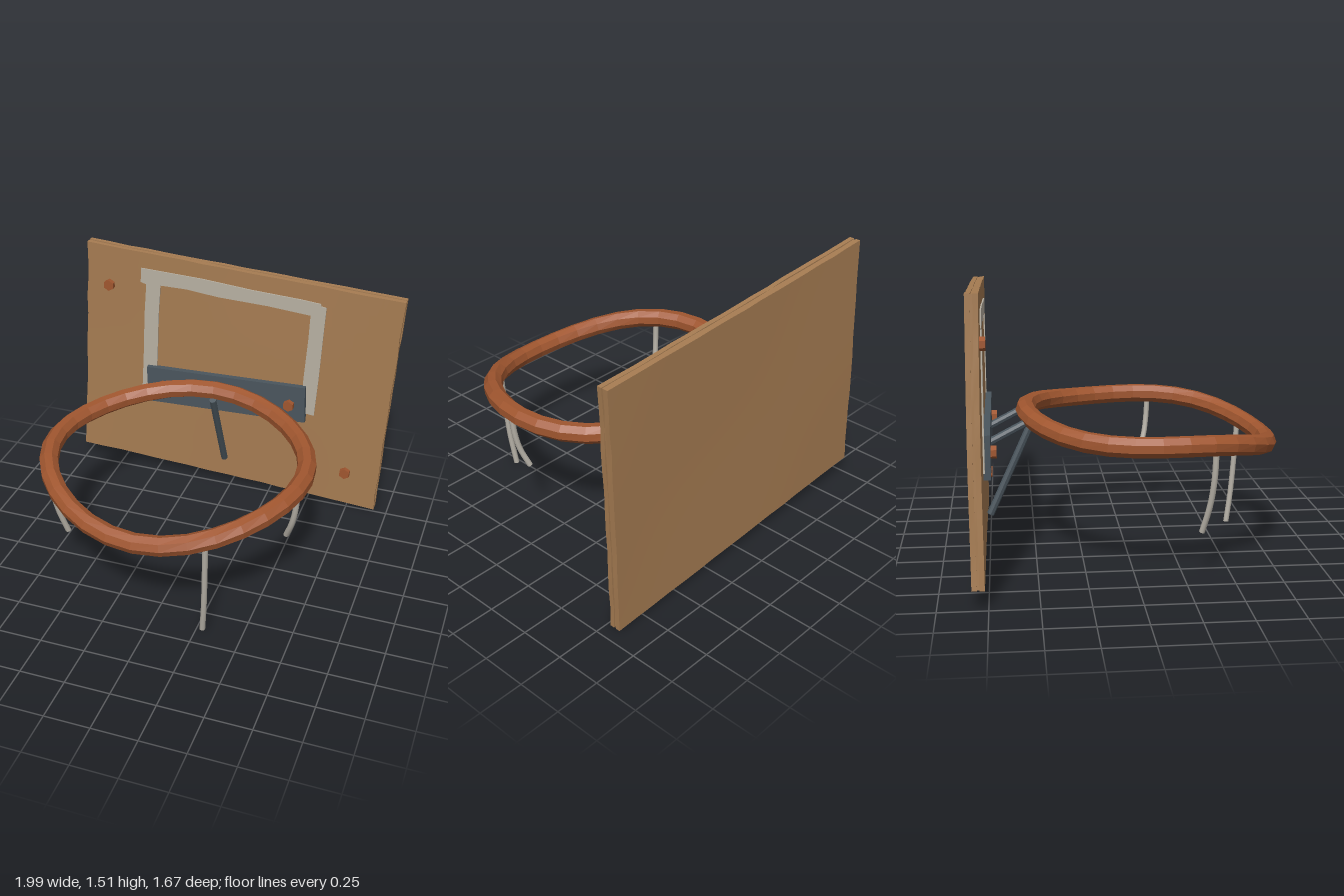
import * as THREE from 'three';

const mat = (color, flat = true) => new THREE.MeshStandardMaterial({ color, flatShading: flat });
const V = (x, y, z) => new THREE.Vector3(x, y, z);

// Repeatable noise in 0..1
const noise = (a, b = 0) => {
  const s = Math.sin(a * 127.1 + b * 311.7) * 43758.5453;
  return s - Math.floor(s);
};

function addMesh(parent, name, geometry, material) {
  const mesh = new THREE.Mesh(geometry, material);
  mesh.name = name;
  parent.add(mesh);
  return mesh;
}

// Straight bar between two points
function bar(parent, name, a, b, radius, material) {
  const mesh = addMesh(parent, name, new THREE.CylinderGeometry(radius, radius, a.distanceTo(b), 8), material);
  mesh.position.lerpVectors(a, b, 0.5);
  mesh.quaternion.setFromUnitVectors(V(0, 1, 0), b.clone().sub(a).normalize());
}

// One ply of the crooked board, with a worn outline
function plyGeometry(z0, z1, inset, seed) {
  const geo = new THREE.BoxGeometry(2, 2, 1, 16, 12, 1);
  const p = geo.attributes.position;
  const TL = V(-0.92, 1.52, 0), TR = V(0.99, 1.415, 0), BL = V(-1, 0.105, 0), BR = V(0.92, 0.005, 0);
  for (let i = 0; i < p.count; i++) {
    let x = p.getX(i), y = p.getY(i);
    const gx = Math.round(x * 8), gy = Math.round(y * 6);
    const corner = Math.abs(gx) === 8 && Math.abs(gy) === 6;
    const wear = inset + (corner ? 0 : 0.008 * noise(gx + seed * 17, gy));
    if (Math.abs(gx) === 8) x *= 1 - wear;
    if (Math.abs(gy) === 6) y *= 1 - wear;
    const warp = 0.003 * Math.sin(x * 2.5 + 1) * Math.cos(y * 2.2);
    const top = TL.clone().lerp(TR, (x + 1) / 2);
    const v = BL.clone().lerp(BR, (x + 1) / 2).lerp(top, (y + 1) / 2);
    p.setXYZ(i, v.x, v.y, (p.getZ(i) > 0 ? z1 : z0) + warp);
  }
  geo.computeVertexNormals();
  return geo;
}

// Bent hoop: octagonal section swept round an oval, sagging at the front
function hoopGeometry() {
  const geo = new THREE.TorusGeometry(0.7, 0.05, 8, 32);
  const p = geo.attributes.position, uv = geo.attributes.uv;
  for (let i = 0; i < p.count; i++) {
    const a = uv.getX(i) * Math.PI * 2, t = uv.getY(i) * Math.PI * 2 + Math.PI / 8;
    const c = Math.cos(a), s = -Math.sin(a);
    const height = 0.728 - 0.03 * s * s - 0.093 * s ** 3;
    const slope = (-0.06 * s - 0.279 * s * s) / 0.66;
    const out = V(c, slope * s, s).normalize(), up = V(0, 1, -slope).normalize();
    const v = V(-0.04 + 0.71 * c, height, 0.118 + 0.662 * s)
      .addScaledVector(out, 0.054 * Math.cos(t))
      .addScaledVector(up, 0.054 * Math.sin(t));
    p.setXYZ(i, v.x, v.y, v.z);
  }
  geo.computeVertexNormals();
  return geo;
}

export function createModel() {
  const model = new THREE.Group();
  model.name = 'basketballHoop';
  const wood = mat(0xa67c52, false), paint = mat(0xb8b0a2), steel = mat(0x4a555d);
  const rust = mat(0xa0562f), cord = mat(0xb5b0a6, false);

  // Board in three plies, the middle one slightly recessed
  const board = new THREE.Group();
  board.name = 'backboard';
  model.add(board);
  addMesh(board, 'backPly', plyGeometry(-0.832, -0.806, 0, 1), wood);
  addMesh(board, 'middlePly', plyGeometry(-0.806, -0.794, 0.006, 2), wood);
  addMesh(board, 'frontPly', plyGeometry(-0.794, -0.768, 0, 3), wood);

  // Worn painted target frame
  const outline = [
    [-0.58, 1.4], [-0.2, 1.385], [0.1, 1.36], [0.4, 1.345], [0.51, 1.335], [0.515, 1.32], [0.545, 1.315],
    [0.535, 1.1], [0.525, 0.85], [0.51, 0.6], [0.47, 0.605], [0.425, 0.6], [0.435, 0.85], [0.45, 1.1],
    [0.455, 1.255], [0.2, 1.275], [-0.1, 1.285], [-0.3, 1.305], [-0.46, 1.305], [-0.475, 1.1],
    [-0.485, 0.85], [-0.5, 0.58], [-0.54, 0.57], [-0.59, 0.575], [-0.575, 0.85], [-0.565, 1.1], [-0.55, 1.3], [-0.585, 1.31],
  ].map(([x, y]) => new THREE.Vector2(x, y));
  const target = addMesh(model, 'targetFrame',
    new THREE.ExtrudeGeometry(new THREE.Shape(outline), { depth: 0.012, bevelEnabled: false }), paint);
  target.position.z = -0.773;

  // Mounting plate, slightly crooked
  const plate = addMesh(model, 'mountingPlate', new THREE.BoxGeometry(1, 0.235, 0.037), steel);
  plate.position.set(-0.042, 0.66, -0.75);
  plate.rotation.z = 0.033;

  // Hexagonal bolt heads on board and plate
  for (const [x, y, z] of [[-0.785, 1.265, -0.757], [0.725, 0.24, -0.757], [-0.442, 0.65, -0.718], [0.363, 0.668, -0.718]]) {
    const bolt = addMesh(model, 'bolt', new THREE.CylinderGeometry(0.034, 0.034, 0.034, 6), rust);
    bolt.position.set(x, y, z);
    bolt.rotation.x = Math.PI / 2;
  }

  // Supports from the plate and board to the hoop
  for (const x of [-0.24, 0.163]) bar(model, 'sideStrut', V(x, 0.655, -0.74), V(x, 0.765, -0.53), 0.021, steel);
  bar(model, 'lowerBrace', V(-0.04, 0.2, -0.745), V(-0.04, 0.75, -0.495), 0.021, steel);

  addMesh(model, 'hoop', hoopGeometry(), rust);

  // Leftover net cords hanging from the hoop
  const cords = [
    [V(0.317, 0.63, 0.7), V(0.31, 0.42, 0.685), V(0.3, 0.2, 0.665), V(0.284, 0.015, 0.638)],
    [V(-0.683, 0.69, 0.4), V(-0.677, 0.55, 0.395), V(-0.655, 0.4, 0.378), V(-0.62, 0.245, 0.342)],
    [V(0.665, 0.7, 0.208), V(0.655, 0.58, 0.2), V(0.635, 0.48, 0.185), V(0.6, 0.378, 0.152)],
  ];
  for (const points of cords) {
    const path = new THREE.CatmullRomCurve3(points);
    const cordGroup = new THREE.Group();
    cordGroup.name = 'netCord';
    model.add(cordGroup);
    addMesh(cordGroup, 'cord', new THREE.TubeGeometry(path, 10, 0.016, 8), cord);
    const cap = addMesh(cordGroup, 'cordEnd', new THREE.CircleGeometry(0.016, 8), cord);
    cap.position.copy(points[3]);
    cap.quaternion.setFromUnitVectors(V(0, 0, 1), path.getTangent(1));
  }
  return model;
}
